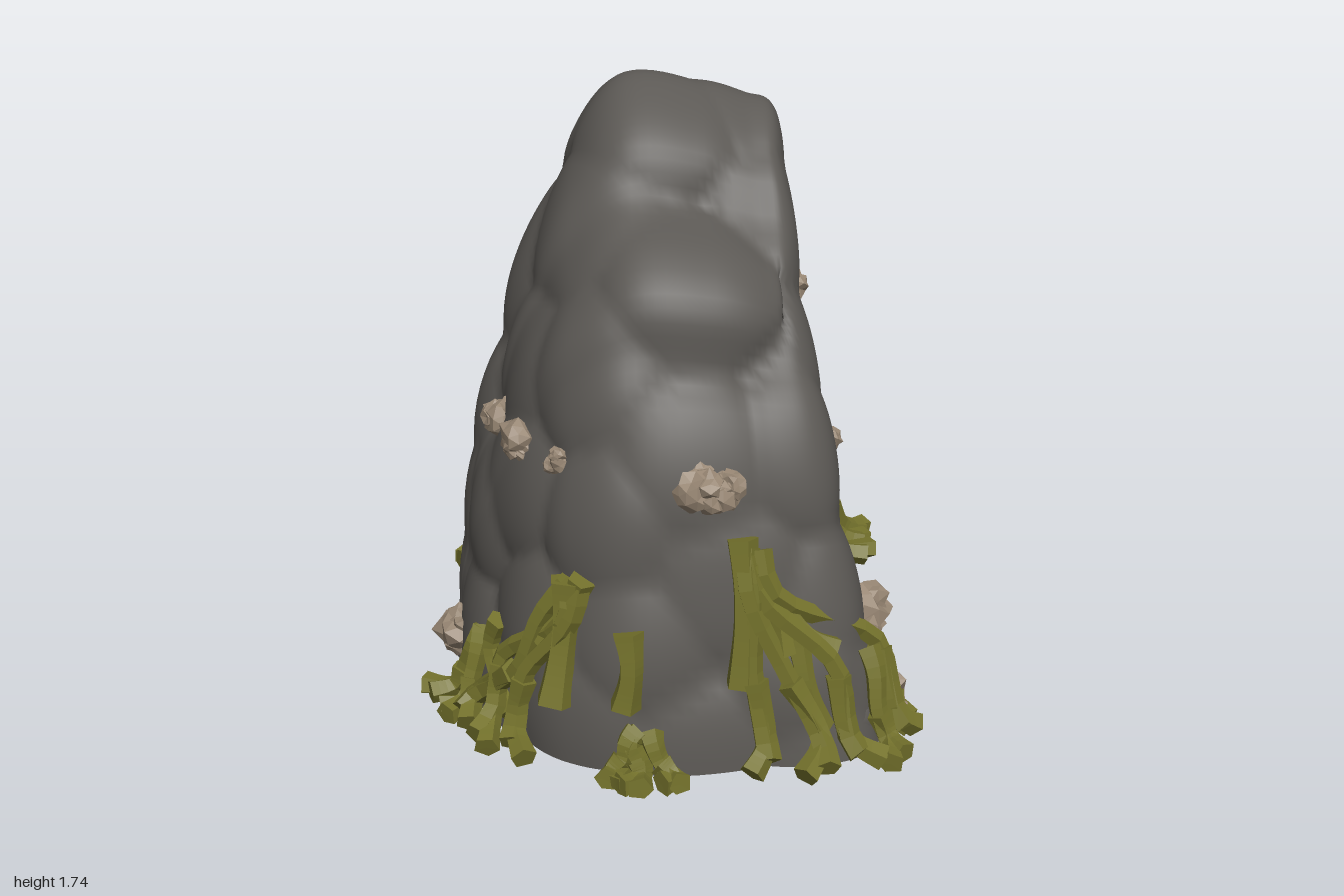
import * as THREE from 'three';

const V = (x, y, z) => new THREE.Vector3(x, y, z);
let seed = 7;
const rnd = () => { seed = (seed * 16807) % 2147483647; return seed / 2147483647; };

const mat = (name, color, side = THREE.FrontSide) => new THREE.MeshStandardMaterial({ name, color, side });

// Arch outlines as [z, y], from the front foot over the top to the back foot
const OUTER = [[.78, 0], [.76, .25], [.71, .5], [.67, .75], [.59, 1], [.53, 1.12], [.5, 1.25], [.4, 1.35], [.23, 1.45], [.15, 1.58],
  [0, 1.68], [-.12, 1.72], [-.22, 1.68], [-.3, 1.52], [-.42, 1.42], [-.53, 1.2], [-.59, 1], [-.68, .77], [-.77, .5], [-.85, .25], [-.89, 0]];
const INNER = [[.27, 0], [.3, .3], [.28, .6], [.24, .88], [.14, 1.12], [-.02, 1.23], [-.12, 1.18], [-.25, 1], [-.32, .7], [-.34, .4], [-.3, 0]];

// Rows from the closed rear, round the rim, into the hollow: x at base, x at top, outer share, inner share
const ROWS = [[-.62, -.61, 0, 0], [-.6, -.58, .2, 0], [-.56, -.53, .42, 0], [-.49, -.44, .62, 0], [-.41, -.36, .78, 0],
  [-.3, -.27, .91, 0], [-.14, -.13, 1, 0], [.12, .08, .99, 0], [.37, .22, .96, 0], [.51, .29, .8, .2], [.55, .32, .5, .5],
  [.47, .31, .2, .8], [.32, .22, .03, .97], [.05, .05, 0, 1], [-.16, -.08, 0, .98], [-.28, -.17, 0, .85], [-.34, -.27, 0, .5], [-.35, -.35, 0, 0]];

const outline = pts => new THREE.CatmullRomCurve3(pts.map(([z, y]) => V(0, y, z)), false, 'centripetal');

function rockGeometry() {
  const NS = 140, NT = 120, outer = outline(OUTER), inner = outline(INNER);
  const O = outer.getSpacedPoints(NT), I = inner.getSpacedPoints(NT);
  const xs = new THREE.CatmullRomCurve3(ROWS.map(r => V(r[0], r[1], 0)), false, 'catmullrom', .5);
  const ks = new THREE.CatmullRomCurve3(ROWS.map(r => V(r[2], r[3], 0)), false, 'catmullrom', .5);
  const pos = [], idx = [], W = NT + 1;
  for (let i = 0; i <= NS; i++) {
    const x = xs.getPoint(i / NS), k = ks.getPoint(i / NS);
    for (let j = 0; j <= NT; j++) {
      const w = Math.sin(Math.PI * j / NT), px = x.x + (x.y - x.x) * w;
      // The hollow bends toward the back leg as it deepens
      const bend = i > NS * .65 ? .17 * THREE.MathUtils.smoothstep(.3 - px, 0, .6) * (1 - .6 * w) : 0;
      pos.push(px, O[j].y * k.x + I[j].y * k.y, O[j].z * k.x + I[j].z * k.y - bend);
      if (i < NS && j < NT) {
        const a = i * W + j, b = a + W;
        idx.push(a, b, a + 1, b, b + 1, a + 1);
      }
    }
  }
  const g = new THREE.BufferGeometry();
  g.setAttribute('position', new THREE.Float32BufferAttribute(pos, 3));
  g.setIndex(idx);
  g.computeVertexNormals();

  // Swell the surface into fused boulders, each centred on a scattered seed
  const P = g.attributes.position, N = g.attributes.normal, p = V(), n = V(), seeds = [];
  for (let tries = 0; tries < 900; tries++) {
    const s = V().fromBufferAttribute(P, Math.floor(rnd() * P.count * .7));
    if (seeds.every(o => o.distanceTo(s) > .2 + .08 * s.y)) seeds.push(s);
  }
  for (let v = 0; v < P.count; v++) {
    const i = Math.floor(v / W), j = v % W;
    p.fromBufferAttribute(P, v);
    n.fromBufferAttribute(N, v);
    const near = Math.min(...seeds.map(s => s.distanceTo(p)));
    const swell = .11 * Math.sqrt(Math.max(0, 1 - (near / .3) ** 2)) - .065;
    const amount = (1 - .9 * THREE.MathUtils.smoothstep(i / NS, .56, .72)) * (1 - .6 * THREE.MathUtils.smoothstep(p.y, 1, 1.6));
    if (i > 0 && i < NS) p.addScaledVector(n, swell * amount);
    P.setXYZ(v, p.x, j === 0 || j === NT ? 0 : Math.max(0, p.y), p.z);
  }
  g.computeVertexNormals();

  // Flat underside following the foot outline
  const foot = [];
  for (let i = 0; i <= NS; i++) foot.push(new THREE.Vector2(P.getX(i * W), P.getZ(i * W)));
  for (let i = NS; i > 0; i--) foot.push(new THREE.Vector2(P.getX(i * W + NT), P.getZ(i * W + NT)));
  const base = new THREE.ShapeGeometry(new THREE.Shape(foot));
  base.rotateX(Math.PI / 2);
  return { shell: g, base };
}

// Dent a sphere into a rounded or jagged stone, cut level at a floor height
function dent(g, r, depth, floor) {
  const P = g.attributes.position, p = V(), a = rnd() * 9, b = rnd() * 9;
  for (let v = 0; v < P.count; v++) {
    p.fromBufferAttribute(P, v);
    const q = p.clone().divideScalar(r);
    p.multiplyScalar(1 + depth * Math.sin(q.x * 5 + a) * Math.cos(q.y * 6 + b) + depth * .7 * Math.sin(q.z * 7 + a + b));
    P.setXYZ(v, p.x, Math.max(floor, p.y), p.z);
  }
  g.computeVertexNormals();
  return g;
}

// Faceted root along a path, widening to a blunt end and capped at both ends
function rootGeometry(points, r) {
  const seg = 14, sides = 5, curve = new THREE.CatmullRomCurve3(points);
  const g = new THREE.TubeGeometry(curve, seg, r, sides, false), P = g.attributes.position, p = V();
  const centres = curve.getSpacedPoints(seg);
  for (let v = 0; v < P.count; v++) {
    const i = Math.floor(v / (sides + 1));
    if (i === 0) p.copy(centres[1]);
    else if (i === seg) p.copy(centres[seg - 1]);
    else p.fromBufferAttribute(P, v).sub(centres[i]).multiplyScalar(1.25 - .4 * Math.sin(Math.PI * i / seg)).add(centres[i]);
    P.setXYZ(v, p.x, Math.max(.004, p.y), p.z);
  }
  const flat = g.toNonIndexed();
  flat.computeVertexNormals();
  return flat;
}

export function createModel() {
  const model = new THREE.Group();
  const slate = mat('slate grey', 0x5c5955);
  const olive = mat('olive root', 0x74722c, THREE.DoubleSide);
  const tan = mat('tan crust', 0x978673);
  const add = (parent, name, geo, material, at) => {
    const m = new THREE.Mesh(geo, material);
    m.name = name;
    if (at) m.position.copy(at);
    parent.add(m);
    return m;
  };
  const group = name => { const g = new THREE.Group(); g.name = name; model.add(g); return g; };

  const { shell, base } = rockGeometry();
  const rock = add(model, 'rockArch', shell, slate);
  add(model, 'underside', base, slate);
  rock.updateMatrixWorld();

  // Boulders half sunk into the feet
  const boulders = group('footBoulders');
  for (const [x, y, z, r] of [[.34, .08, -.77, .17], [.43, .07, -.66, .15], [.17, .06, -.8, .13], [.41, .06, .6, .15], [.42, .1, .46, .13]])
    add(boulders, 'boulder', dent(new THREE.SphereGeometry(r, 24, 16), r, .09, .004 - y), slate, V(x, y, z));

  const ray = new THREE.Raycaster();
  const cast = (from, dir) => { ray.set(from, dir.normalize()); return ray.intersectObject(rock)[0]?.point; };
  const faces = {
    front: (u, y) => cast(V(u, y, 3), V(0, 0, -1)),
    rear: (u, y) => cast(V(u, y, -3), V(0, 0, 1)),
    open: (u, y) => cast(V(3, y, u), V(-1, 0, 0)),
    closed: (u, y) => cast(V(-3, y, u), V(1, 0, 0)),
  };
  // Point on the rock at a compass angle and height, lifted outward
  const around = (deg, y, lift) => {
    const a = deg * Math.PI / 180, d = V(Math.cos(a), 0, Math.sin(a));
    const hit = cast(V(d.x * 3, y, d.z * 3), d.clone().negate()) || V(d.x * .6, y, d.z * .6);
    return hit.addScaledVector(d, lift);
  };
  // Point on a leg's open side at a depth z, fanning away from the crown
  const onLeg = (z, y, lift, crown) => (faces.open(z, y) || V(.5, y, z)).addScaledVector(V(1, 0, (z - crown) * 3).normalize(), lift);

  // Crusts: face, position along it, height, radius
  const crusts = group('crusts');
  for (const [face, u, y, r] of [
    ['front', -.44, .83, .06], ['front', -.33, .82, .04], ['front', .03, .8, .07], ['front', .1, .79, .065],
    ['open', .53, .35, .085], ['open', .54, .09, .085], ['open', .33, .18, .07], ['open', .35, .77, .06], ['open', .32, .61, .035],
    ['open', -.49, .96, .065], ['open', -.69, .57, .055], ['open', -.74, .19, .065], ['open', -.75, .08, .08], ['open', -.36, .52, .03],
    ['open', -.27, .12, .06], ['closed', .18, .8, .065], ['closed', .15, .11, .08],
    ['closed', -.44, .86, .06], ['closed', -.58, .07, .07], ['rear', .3, .68, .045]]) {
    const at = faces[face](u, y);
    if (!at || (face === 'open' && at.x < .2)) continue;
    for (let i = 0; i < 4; i++) {
      const off = V(rnd() - .5, rnd() - .5, rnd() - .5).multiplyScalar(i ? r * 1.2 : 0).add(at);
      const size = r * (i ? .6 : .85);
      add(crusts, 'crust', dent(new THREE.IcosahedronGeometry(size, 1), size, .22, .004 - off.y), tan, off);
    }
  }

  // Roots: crown position and height, then where each one reaches the ground
  const roots = group('roots');
  const cluster = (place, crown, height, ends, reach, fork) => {
    for (const end of ends) {
      const at = (t, y, lift) => place(crown + (end - crown) * t + (rnd() - .5) * fork * .9, height * y + .012, lift, crown);
      const path = [at(.05, 1, .005), at(.1 + rnd() * .4, .75, .03), at(.5 + rnd() * .5, .42, .035), at(1, .14, .06)];
      const far = reach * (.75 + rnd() * .5), turn = rnd() > .5 ? 1 : -1;
      add(roots, 'root', rootGeometry([...path, place(end, .03, far, crown)], .032), olive);
      add(roots, 'rootToe', rootGeometry([path[2], path[3], place(end + turn * fork, .03, far * .9, crown)], .033), olive);
    }
  };
  for (const [crown, height, ends, reach] of [
    [113, .55, [139, 131, 123], .15], [78, .68, [76, 68, 60, 48], .15], [99, .13, [104, 98, 91], .13], [146, .24, [142, 152], .13],
    [50, .3, [45, 53], .15], [-103, .32, [-93, -101, -108, -116], .09], [-136, .14, [-130, -141], .14], [-74, .12, [-67, -80], .08]])
    cluster(around, crown, height, ends, reach, 4);
  cluster(onLeg, -.42, .45, [-.37, -.42, -.48, -.55], .18, .035);
  cluster(onLeg, .36, .14, [.34, .39], .13, .03);

  // Short roots hanging part way down the front
  for (const [r, pts] of [[.05, [[-.31, .56], [-.32, .42], [-.36, .15]]], [.04, [[-.16, .44], [-.15, .32], [-.17, .19]]],
    [.04, [[.15, .7], [.16, .5], [.15, .22]]], [.034, [[-.27, .56], [-.31, .45], [-.4, .32]]], [.032, [[.17, .62], [.24, .5], [.27, .32]]],
    [.032, [[.26, .46], [.34, .38], [.42, .33]]], [.032, [[.3, .4], [.33, .25], [.38, .1]]], [.032, [[-.5, .32], [-.53, .2], [-.47, .05]]]]) {
    const path = pts.map(([x, y]) => faces.front(x, y).add(V(0, 0, .015)));
    add(roots, 'hangingRoot', rootGeometry(path, r), olive);
  }
  return model;
}
